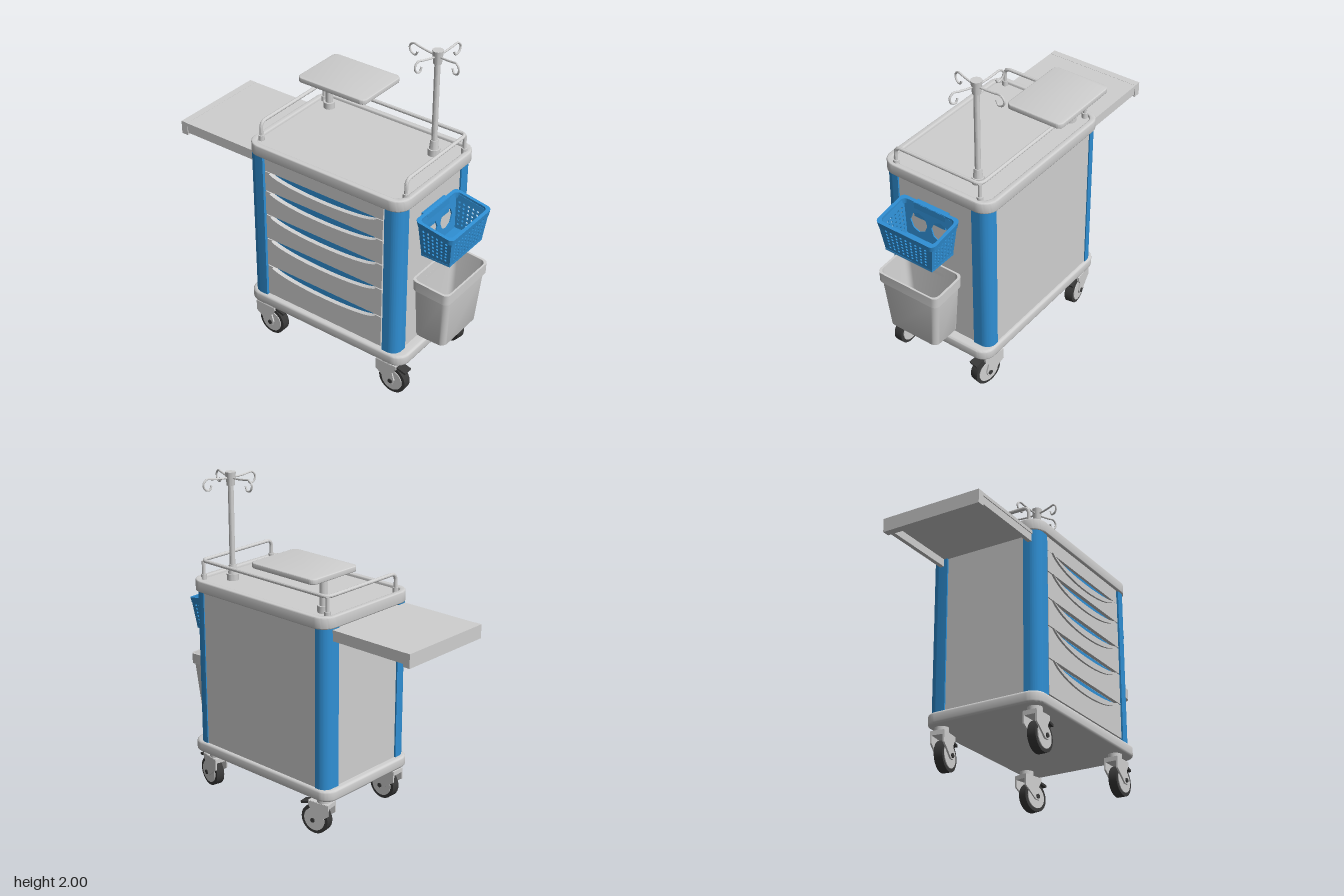
import * as THREE from 'three';
import { toCreasedNormals } from 'three/addons/utils/BufferGeometryUtils.js';

const V = (x, y, z) => new THREE.Vector3(x, y, z);

export function createModel() {
  const model = new THREE.Group();
  const material = (name, color) => Object.assign(new THREE.MeshStandardMaterial({ color }), { name });
  const grey = material('light grey', 0xcfcfcf);
  const blue = material('blue', 0x2f8fd4);
  const dark = material('dark rubber', 0x3a3a3a);

  function add(name, geo, mat, parent = model) {
    const mesh = new THREE.Mesh(toCreasedNormals(geo, 0.6), mat);
    mesh.name = name;
    parent.add(mesh);
    return mesh;
  }
  // Box and cylinder given by their limits
  const box = (name, mat, x0, x1, y0, y1, z0, z1, parent) =>
    add(name, new THREE.BoxGeometry(x1 - x0, y1 - y0, z1 - z0)
      .translate((x0 + x1) / 2, (y0 + y1) / 2, (z0 + z1) / 2), mat, parent);
  const column = (name, x, z, y0, y1, r, parent, mat = grey, rTop = r) =>
    add(name, new THREE.CylinderGeometry(rTop, r, y1 - y0, 20).translate(x, (y0 + y1) / 2, z), mat, parent);

  // Rounded rectangle in plan, corner radii in order (x0,z1) (x1,z1) (x1,z0) (x0,z0)
  function plan(x0, x1, z0, z1, radii, target = new THREE.Shape()) {
    const [a, b, c, d] = radii;
    const y0 = -z1, y1 = -z0;
    target.moveTo(x0 + a, y0).lineTo(x1 - b, y0);
    if (b) target.absarc(x1 - b, y0 + b, b, -Math.PI / 2, 0);
    target.lineTo(x1, y1 - c);
    if (c) target.absarc(x1 - c, y1 - c, c, 0, Math.PI / 2);
    target.lineTo(x0 + d, y1);
    if (d) target.absarc(x0 + d, y1 - d, d, Math.PI / 2, Math.PI);
    target.lineTo(x0, y0 + a);
    if (a) target.absarc(x0 + a, y0 + a, a, Math.PI, Math.PI * 1.5);
    return target;
  }
  const rise = (shape, y0, y1, bevel = 0) => new THREE.ExtrudeGeometry(shape, {
    depth: y1 - y0 - 2 * bevel, curveSegments: 8, bevelEnabled: bevel > 0,
    bevelSize: bevel, bevelThickness: bevel, bevelOffset: -bevel, bevelSegments: 3,
  }).rotateX(-Math.PI / 2).translate(0, y0 + bevel, 0);
  const all = r => [r, r, r, r];

  // Skin through rounded rectangles; section = [cx, cz, width, depth, radius, y, tilt]
  function loft(sections) {
    const pos = [], index = [], n = 24;
    sections.forEach(([cx, cz, w, d, r, y, tilt = 0], i) => {
      for (let j = 0; j < n; j++) {
        const q = Math.floor(j / 6), a = (q + (j % 6) / 5) * Math.PI / 2;
        const sx = q === 0 || q === 3 ? 1 : -1, sz = q < 2 ? 1 : -1;
        const x = sx * (w / 2 - r) + r * Math.cos(a);
        pos.push(cx + x, y + tilt * x, cz + sz * (d / 2 - r) + r * Math.sin(a));
        if (i) {
          const k = (j + 1) % n, lo = (i - 1) * n, hi = i * n;
          index.push(lo + j, hi + j, lo + k, lo + k, hi + j, hi + k);
        }
      }
    });
    const geo = new THREE.BufferGeometry();
    geo.setAttribute('position', new THREE.Float32BufferAttribute(pos, 3));
    geo.setIndex(index);
    geo.computeVertexNormals();
    return geo;
  }

  // Tube along straight runs with rounded bends
  function pipe(name, pts, r, bend, parent) {
    const path = new THREE.CurvePath();
    let from = pts[0];
    for (let i = 1; i < pts.length - 1; i++) {
      const p = pts[i];
      const a = p.clone().add(pts[i - 1].clone().sub(p).setLength(bend));
      const b = p.clone().add(pts[i + 1].clone().sub(p).setLength(bend));
      path.add(new THREE.LineCurve3(from, a));
      path.add(new THREE.QuadraticBezierCurve3(a, p, b));
      from = b;
    }
    path.add(new THREE.LineCurve3(from, pts[pts.length - 1]));
    add(name, new THREE.TubeGeometry(path, 160, r, 10), grey, parent);
  }

  // Base, cabinet core and worktop with raised rim
  add('base', rise(plan(-0.42, 0.72, -0.345, 0.405, all(0.08)), 0.24, 0.31, 0.015), grey);
  box('cabinetSides', grey, -0.38, 0.66, 0.3, 1.3, -0.22, 0.295);
  box('cabinetBack', grey, -0.31, 0.59, 0.3, 1.3, -0.325, 0);
  box('cabinetFront', grey, -0.282, 0.572, 0.3, 1.3, 0, 0.362);
  add('worktop', rise(plan(-0.39, 0.68, -0.335, 0.39, all(0.08)), 1.29, 1.345), grey);
  const rim = plan(-0.4, 0.69, -0.35, 0.4, all(0.09));
  rim.holes.push(plan(-0.365, 0.655, -0.315, 0.365, all(0.06), new THREE.Path()));
  add('worktopRim', rise(rim, 1.29, 1.362, 0.008), grey);

  // Rounded corner posts
  [[-0.39, -0.282, 0.295, 0.39, [0.06, 0, 0, 0]], [0.572, 0.67, 0.295, 0.39, [0, 0.06, 0, 0]],
    [0.59, 0.67, -0.332, -0.22, [0, 0, 0.06, 0]], [-0.39, -0.31, -0.332, -0.22, [0, 0, 0, 0.06]]]
    .forEach(([x0, x1, z0, z1, r]) => add('cornerPost', rise(plan(x0, x1, z0, z1, r), 0.31, 1.29), blue));

  // Drawers: notched front, blue recess, curved grip
  box('topPanel', grey, -0.27, 0.56, 1.203, 1.29, 0.3, 0.383);
  const levels = [1.2, 1.065, 0.9, 0.73, 0.535, 0.32];
  const front = (shape, depth, z) => new THREE.ExtrudeGeometry(shape,
    { depth, bevelEnabled: false, curveSegments: 24 }).translate(0, 0, z);
  for (let i = 0; i < 5; i++) {
    const drawer = new THREE.Group();
    drawer.name = 'drawer';
    model.add(drawer);
    const top = levels[i], low = levels[i + 1] + 0.007;
    const face = new THREE.Shape().moveTo(-0.27, low).lineTo(0.56, low).lineTo(0.56, top).lineTo(0.52, top);
    face.bezierCurveTo(0.42, top - 0.06, -0.13, top - 0.06, -0.23, top).lineTo(-0.27, top);
    add('drawerFront', front(face, 0.025, 0.36), grey, drawer);
    box('drawerRecess', blue, -0.235, 0.525, top - 0.06, top, 0.36, 0.369, drawer);
    const grip = new THREE.Shape().moveTo(-0.23, top);
    grip.bezierCurveTo(-0.13, top - 0.06, 0.42, top - 0.06, 0.52, top);
    grip.bezierCurveTo(0.4, top - 0.112, -0.11, top - 0.112, -0.23, top);
    add('drawerGrip', front(grip, 0.025, 0.372), grey, drawer);
  }

  // Guard rail around three sides
  pipe('guardRail', [V(-0.35, 1.34, 0.31), V(-0.35, 1.463, 0.31), V(-0.35, 1.463, -0.275),
    V(0.655, 1.463, -0.275), V(0.655, 1.463, 0.31), V(0.655, 1.34, 0.31)], 0.011, 0.04);
  [-0.345, 0.65].forEach(x => column('railPost', x, -0.268, 1.34, 1.46, 0.011));
  [[-0.35, 0.31], [0.655, 0.31], [-0.345, -0.268], [0.65, -0.268]]
    .forEach(([x, z]) => column('railFoot', x, z, 1.34, 1.378, 0.018));

  // Raised tray on its column
  add('raisedTray', rise(plan(-0.37, 0.115, -0.41, -0.04, all(0.035)), 1.565, 1.597, 0.005), grey);
  column('trayColumn', -0.27, -0.22, 1.34, 1.57, 0.022);
  column('trayFoot', -0.27, -0.22, 1.34, 1.385, 0.034);
  box('trayBracket', grey, -0.3, -0.24, 1.54, 1.57, -0.25, -0.19);

  // Pull-out side shelf
  const shelf = new THREE.Group();
  shelf.name = 'sideShelf';
  model.add(shelf);
  box('shelfPlate', grey, -0.92, -0.37, 1.262, 1.282, -0.275, 0.355, shelf);
  box('shelfEnd', grey, -0.935, -0.89, 1.2, 1.283, -0.275, 0.355, shelf);
  [-0.27, 0.325].forEach(z => box('shelfRunner', grey, -0.9, -0.37, 1.215, 1.265, z, z + 0.025, shelf));

  // Drip pole with four curled hooks
  const pole = new THREE.Group();
  pole.name = 'dripPole';
  pole.position.set(0.52, 0, -0.155);
  model.add(pole);
  column('poleFoot', 0, 0, 1.34, 1.385, 0.036, pole);
  column('poleCollar', 0, 0, 1.385, 1.44, 0.028, pole, grey, 0.022);
  column('poleShaft', 0, 0, 1.4, 1.95, 0.017, pole);
  column('poleHub', 0, 0, 1.92, 2, 0.024, pole, grey, 0.032);
  [[-0.2, -0.025], [0.02, -0.195], [0.165, 0.045], [-0.035, 0.165]].forEach(([dx, dz]) => {
    const pts = [[0, 1.965], [0.35, 1.968], [0.65, 1.975], [0.87, 1.98], [1, 1.955], [0.94, 1.922], [0.78, 1.915], [0.71, 1.94]];
    const curve = new THREE.CatmullRomCurve3(pts.map(([t, y]) => V(dx * t, y, dz * t)));
    add('hook', new THREE.TubeGeometry(curve, 40, 0.006, 8), grey, pole);
  });

  // Perforated basket: flat walls mapped between tapered corners
  const basket = new THREE.Group();
  basket.name = 'basket';
  model.add(basket);
  function wall(a, b, c, d, nx, ny, rx, ry) {
    const shape = new THREE.Shape().moveTo(0, 0).lineTo(1, 0).lineTo(1, 1).lineTo(0, 1);
    for (let i = 0; i < nx; i++) for (let j = 0; j < ny; j++) {
      shape.holes.push(new THREE.Path().absellipse(0.08 + 0.84 * (i + 0.5) / nx, 0.12 + 0.74 * (j + 0.5) / ny, rx, ry, 0, Math.PI * 2, true));
    }
    const geo = new THREE.ExtrudeGeometry(shape, { depth: 0.008, bevelEnabled: false, curveSegments: 4 });
    const n = b.clone().sub(a).cross(d.clone().sub(a)).normalize(), p = geo.attributes.position;
    for (let i = 0; i < p.count; i++) {
      const u = p.getX(i), v = p.getY(i), w = p.getZ(i) - 0.008;
      const q = a.clone().lerp(b, u).lerp(d.clone().lerp(c, u), v).addScaledVector(n, w);
      p.setXYZ(i, q.x, q.y, q.z);
    }
    geo.computeVertexNormals();
    add('basketWall', geo, blue, basket);
  }
  const foot = [V(0.89, 0.94, 0.215), V(0.89, 0.94, -0.115), V(0.705, 0.94, -0.115), V(0.705, 0.94, 0.215)];
  const brim = [V(0.912, 1.125, 0.24), V(0.912, 1.125, -0.14), V(0.69, 1.165, -0.14), V(0.69, 1.165, 0.24)];
  const grids = [[9, 6, 0.023, 0.038], [6, 6, 0.036, 0.038], [2, 1, 0.17, 0.28], [6, 6, 0.036, 0.038]];
  for (let i = 0; i < 4; i++) {
    const k = (i + 1) % 4;
    wall(foot[i], foot[k], brim[k], brim[i], ...grids[i]);
  }
  box('basketFloor', blue, 0.703, 0.892, 0.938, 0.95, -0.117, 0.217, basket);
  const brimRing = (w, d, y) => [0.8, 0.05, w, d, 0.03, y, -0.17];
  add('basketRim', loft([brimRing(0.235, 0.4, 1.125), brimRing(0.245, 0.41, 1.16), brimRing(0.205, 0.37, 1.16),
    brimRing(0.205, 0.37, 1.125), brimRing(0.235, 0.4, 1.125)]), blue, basket);
  box('basketHanger', blue, 0.655, 0.7, 1.08, 1.175, -0.06, 0.16, basket);

  // Open waste bin
  const ring = (cx, w, d, y, tilt) => [cx, 0.055, w, d, Math.min(0.035, w / 2), y, tilt];
  add('wasteBin', loft([ring(0.785, 0, 0, 0.37), ring(0.785, 0.19, 0.33, 0.37), ring(0.785, 0.205, 0.345, 0.38),
    ring(0.797, 0.228, 0.4, 0.71, -0.07), ring(0.8, 0.242, 0.425, 0.715, -0.07), ring(0.8, 0.244, 0.428, 0.78, -0.07),
    ring(0.8, 0.222, 0.4, 0.78, -0.07), ring(0.787, 0.185, 0.325, 0.39), ring(0.787, 0, 0, 0.39)]), grey);
  box('binBracket', grey, 0.655, 0.69, 0.66, 0.74, -0.03, 0.14);

  // Swivel casters
  [[-0.33, 0.33, 0], [0.575, 0.33, 0], [-0.33, -0.275, 0.15], [0.575, -0.275, -0.2]].forEach(([x, z, turn]) => {
    const caster = new THREE.Group();
    caster.name = 'caster';
    caster.position.set(x, 0, z);
    caster.rotation.y = turn;
    model.add(caster);
    column('casterStem', 0, 0, 0.2, 0.245, 0.042, caster);
    box('casterCrown', grey, -0.055, 0.085, 0.185, 0.212, -0.042, 0.042, caster);
    const disc = (name, r, w, mat) => add(name, new THREE.CylinderGeometry(r, r, w, 32)
      .rotateX(Math.PI / 2).translate(0.05, 0.091, 0), mat, caster);
    disc('tyre', 0.091, 0.052, dark);
    disc('wheelHub', 0.07, 0.062, grey);
    disc('axle', 0.014, 0.1, dark);
    const leg = new THREE.Shape().moveTo(-0.055, 0.21).lineTo(-0.055, 0.14).lineTo(-0.02, 0.115)
      .lineTo(0.035, 0.07).lineTo(0.065, 0.07).lineTo(0.075, 0.1).lineTo(0.06, 0.15).lineTo(0.085, 0.19).lineTo(0.085, 0.21);
    [-0.044, 0.034].forEach(s => add('casterFork', front(leg, 0.01, s), grey, caster));
    add('brakePedal', new THREE.BoxGeometry(0.08, 0.014, 0.06).rotateZ(-0.25).translate(0.105, 0.187, 0), dark, caster);
  });

  return model;
}
